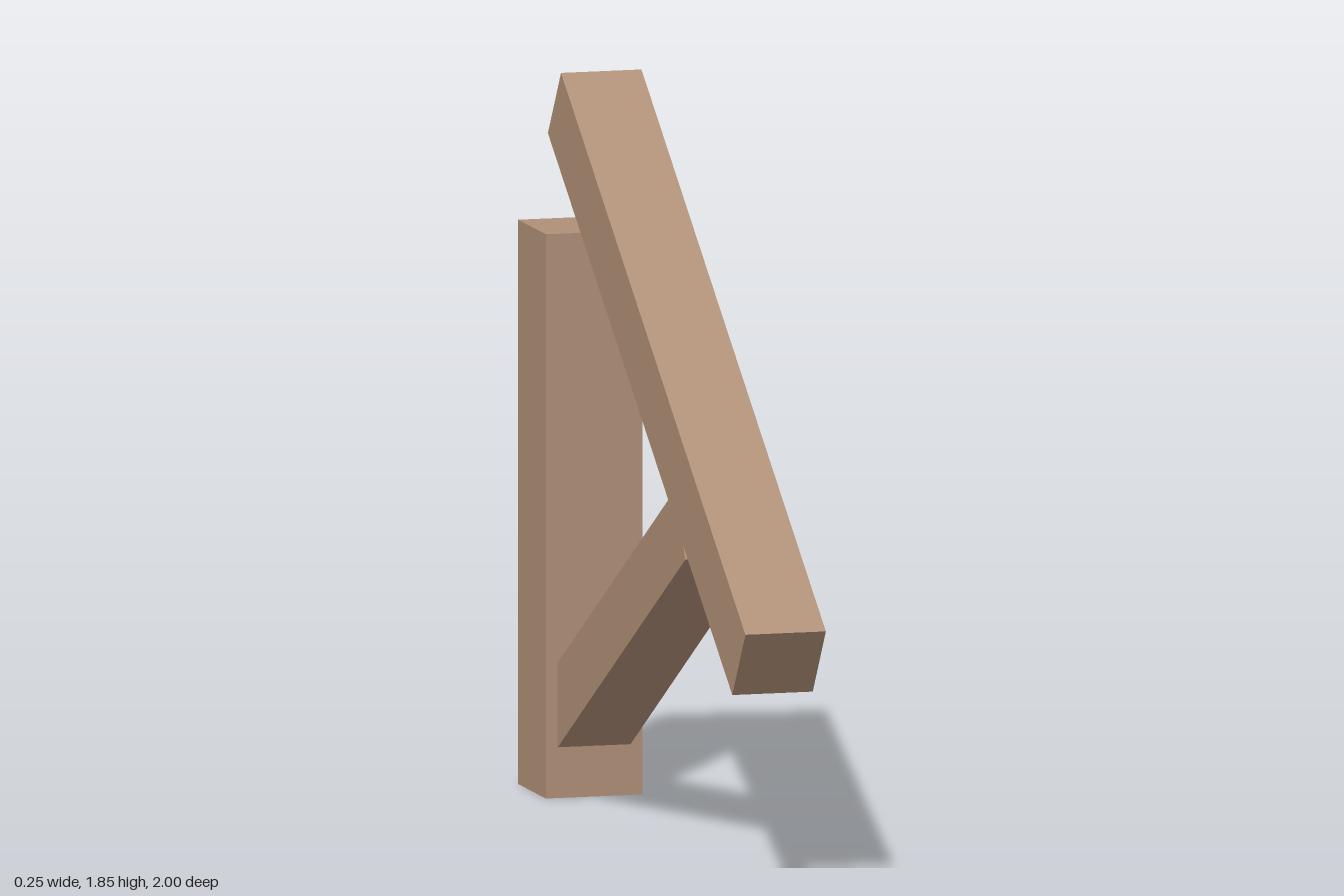
import * as THREE from 'three';

const wood = new THREE.MeshStandardMaterial({ color: 0xb09078 });
wood.name = 'light brown wood';

// Straight timber in the x = 0 plane, running between two [y, z] end points.
function beam(name, width, thickness, [y1, z1], [y2, z2]) {
  const length = Math.hypot(y2 - y1, z2 - z1);
  const mesh = new THREE.Mesh(new THREE.BoxGeometry(width, thickness, length), wood);
  mesh.name = name;
  mesh.position.set(0, (y1 + y2) / 2, (z1 + z2) / 2);
  mesh.rotation.x = -Math.atan2(y2 - y1, z2 - z1);
  return mesh;
}

export function createModel() {
  const group = new THREE.Group();
  group.name = 'timberBracket';

  // Upright post at the back
  const post = new THREE.Mesh(new THREE.BoxGeometry(0.252, 1.432, 0.253), wood);
  post.name = 'post';
  post.position.set(0, 0.716, -0.8735);
  group.add(post);

  // Sloping rafter, and the strut that carries it from the post
  group.add(beam('rafter', 0.21, 0.208, [1.765, -0.742], [0.585, 0.94]));
  group.add(beam('strut', 0.19, 0.188, [0.168, -0.87], [0.857, 0.37]));

  return group;
}
